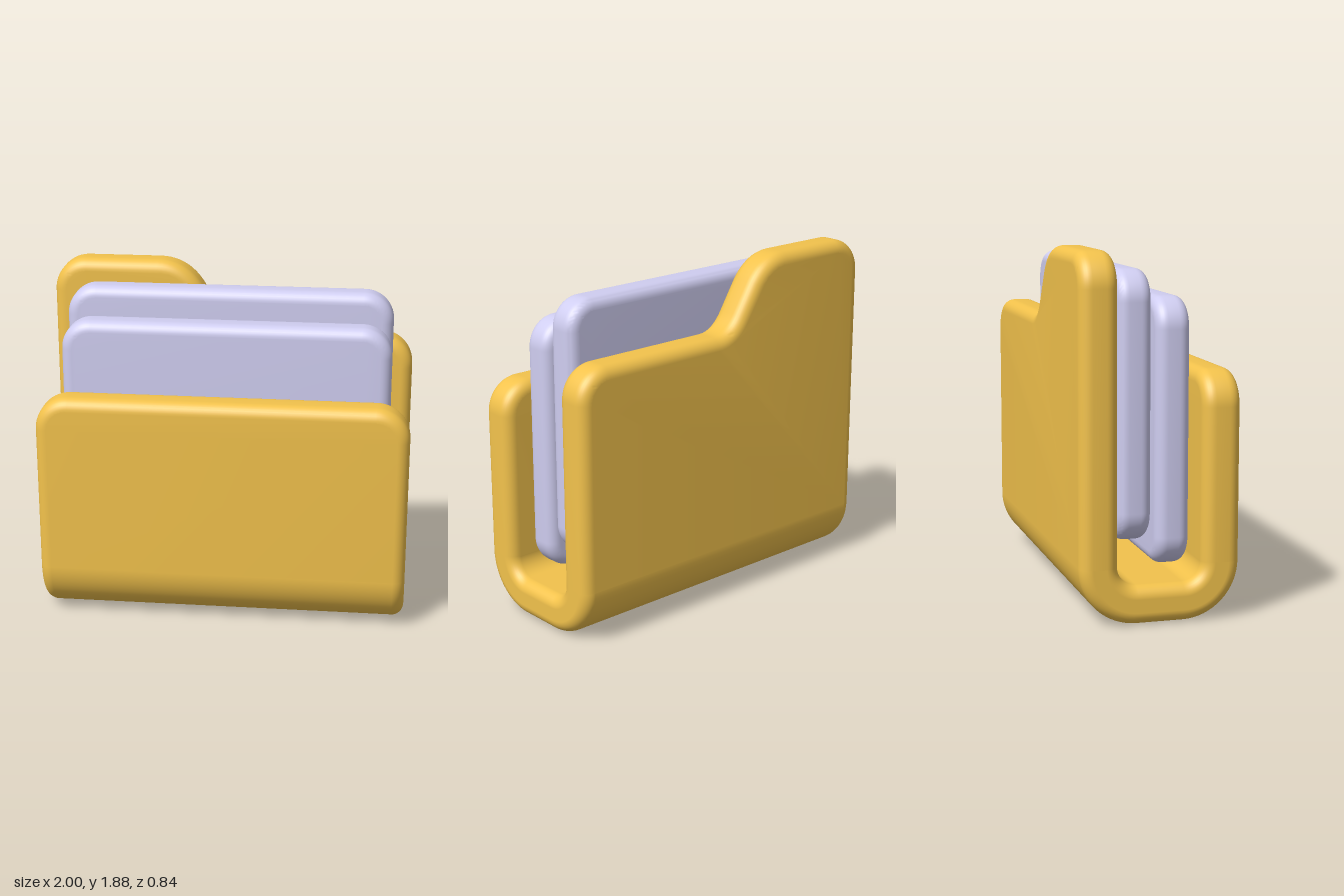
import * as THREE from 'three';
import { toCreasedNormals } from 'three/addons/utils/BufferGeometryUtils.js';

const THICK = 0.2, BEVEL = 0.065, STEPS = 8; // folder wall
const BEND_Z = 0.12, BEND_Y = 0.3, BEND_R = 0.2; // mid-line of the folded base
const CORNER = 0.18;

// Plate with rounded rims, its back face at z
function plate(shape, thick, bevel, z) {
  const geo = new THREE.ExtrudeGeometry(shape, {
    depth: thick - 2 * bevel, bevelThickness: bevel, bevelSize: bevel,
    bevelOffset: -bevel, bevelSegments: STEPS, curveSegments: 10,
  });
  geo.translate(0, 0, z + bevel);
  return geo;
}

// Folder wall: the foot is flattened so that it meets the folded base
function wall(shape, z) {
  const geo = plate(shape, THICK, BEVEL, z);
  const p = geo.attributes.position;
  for (let i = 0; i < p.count; i++) if (p.getY(i) < 0.2) p.setY(i, BEND_Y);
  return toCreasedNormals(geo, 0.6);
}

function roundedRect(x, y0, y1, r) {
  const s = new THREE.Shape();
  s.absarc(x - r, y0 + r, r, -Math.PI / 2, 0);
  s.absarc(x - r, y1 - r, r, 0, Math.PI / 2);
  s.absarc(-x + r, y1 - r, r, Math.PI / 2, Math.PI);
  s.absarc(-x + r, y0 + r, r, Math.PI, Math.PI * 1.5);
  return s;
}

function frontShape() {
  const s = new THREE.Shape(), top = 1.275;
  s.moveTo(-1, 0.1);
  s.lineTo(1, 0.1);
  s.absarc(1 - CORNER, top - CORNER, CORNER, 0, Math.PI / 2);
  s.absarc(-1 + CORNER, top - CORNER, CORNER, Math.PI / 2, Math.PI);
  return s;
}

function backShape() {
  const s = new THREE.Shape(), low = 1.49, high = 1.88;
  s.moveTo(-1, 0.1);
  s.lineTo(1, 0.1);
  s.absarc(1 - CORNER, low - CORNER, CORNER, 0, Math.PI / 2);
  // slope up to the index tab
  s.lineTo(0.08, low);
  s.quadraticCurveTo(-0.02, low, -0.08, 1.59);
  s.lineTo(-0.18, 1.75);
  s.quadraticCurveTo(-0.27, high, -0.42, high);
  s.absarc(-1 + CORNER, high - CORNER, CORNER, Math.PI / 2, Math.PI);
  return s;
}

// Folded base: a rounded bar section swept round two bends
function foldedBase() {
  const ring = [];
  [[1, 1], [-1, 1], [-1, -1], [1, -1]].forEach(([sx, sn], k) => {
    for (let i = 0; i <= STEPS; i++) {
      const t = (k + i / STEPS) * Math.PI / 2, c = Math.cos(t), s = Math.sin(t);
      ring.push([sx * (1 - BEVEL) + BEVEL * c, sn * (THICK / 2 - BEVEL) + BEVEL * s, c, s]);
    }
  });
  const pos = [], nor = [], idx = [], n = ring.length, bend = 16;
  for (let side = 0; side < 2; side++) {
    for (let i = 0; i <= bend; i++) {
      const a = (side + i / bend) * Math.PI / 2;
      const dz = Math.cos(a), dy = -Math.sin(a), cz = side ? -BEND_Z : BEND_Z;
      for (const [x, off, nx, nn] of ring) {
        pos.push(x, BEND_Y + dy * (BEND_R + off), cz + dz * (BEND_R + off));
        nor.push(nx, dy * nn, dz * nn);
      }
    }
  }
  for (let i = 0; i < 2 * bend + 1; i++) {
    for (let j = 0; j < n; j++) {
      const a = i * n + j, b = i * n + (j + 1) % n;
      idx.push(a, b, b + n, a, b + n, a + n);
    }
  }
  const geo = new THREE.BufferGeometry();
  geo.setAttribute('position', new THREE.Float32BufferAttribute(pos, 3));
  geo.setAttribute('normal', new THREE.Float32BufferAttribute(nor, 3));
  geo.setIndex(idx);
  return geo;
}

export function createModel() {
  const model = new THREE.Group();
  model.name = 'fileFolder';
  const yellow = new THREE.MeshStandardMaterial({ color: 0xf2c24c });
  const lilac = new THREE.MeshStandardMaterial({ color: 0xcfcdf0 });
  const add = (name, geo, mat, parent) => {
    const mesh = new THREE.Mesh(geo, mat);
    mesh.name = name;
    parent.add(mesh);
  };

  // Folder
  const folder = new THREE.Group();
  folder.name = 'folder';
  model.add(folder);
  add('frontCover', wall(frontShape(), 0.22), yellow, folder);
  add('backCoverWithTab', wall(backShape(), -0.42), yellow, folder);
  add('foldedBase', foldedBase(), yellow, folder);

  // Pages floating between the covers
  const page = (y0, y1, z) =>
    toCreasedNormals(plate(roundedRect(0.89, y0, y1, 0.16), 0.18, 0.06, z), 0.6);
  add('frontPage', page(0.255, 1.64, 0.005), lilac, model);
  add('rearPage', page(0.39, 1.78, -0.197), lilac, model);
  return model;
}
